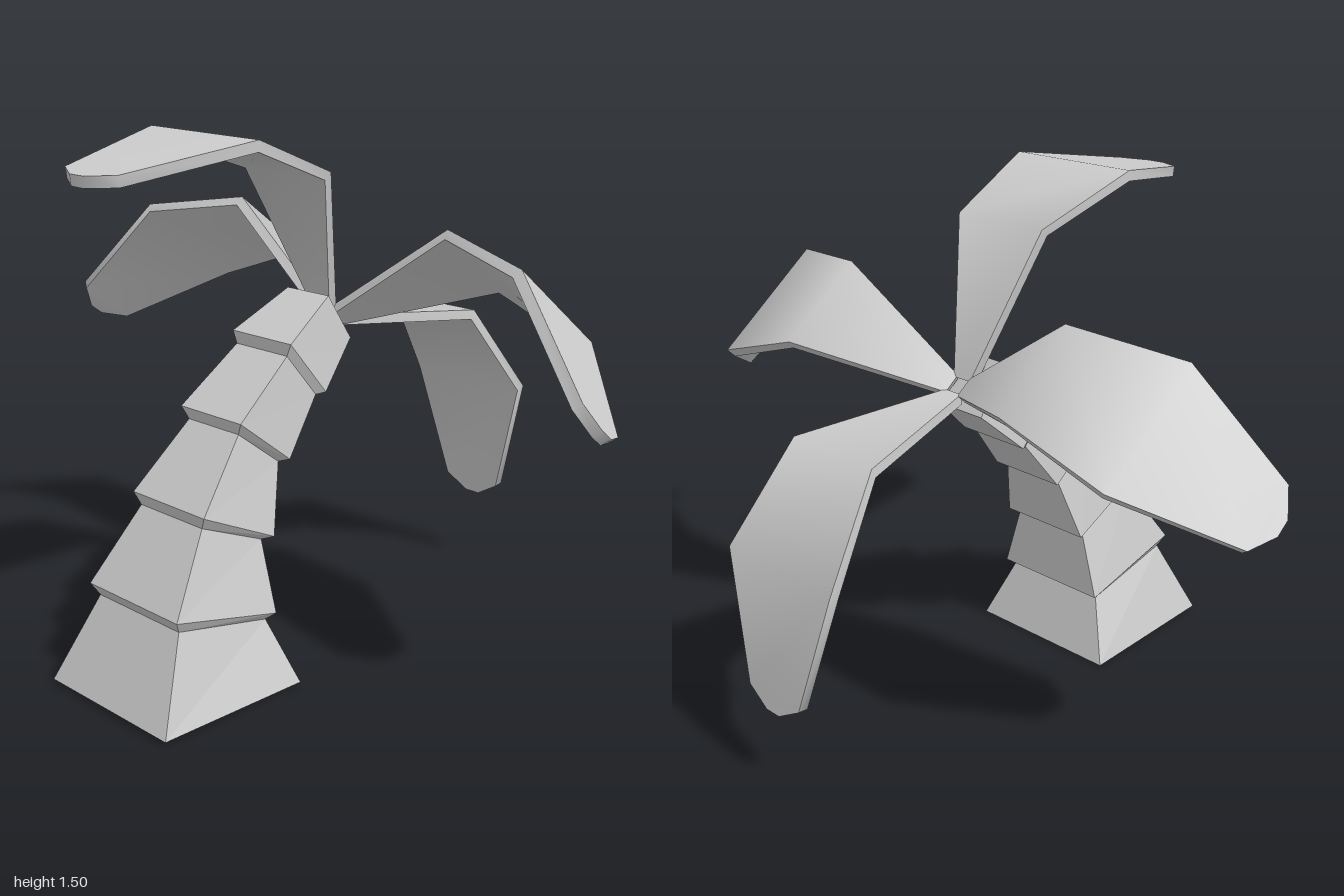
import * as THREE from 'three';
import { toCreasedNormals } from 'three/addons/utils/BufferGeometryUtils.js';

const grey = new THREE.MeshStandardMaterial({ color: 0xcccccc });

// Skins a list of four-cornered rings into a closed solid
function loft(rings, crease) {
  const pos = [];
  const quad = (a, b, c, d) => pos.push(...a, ...b, ...c, ...a, ...c, ...d);
  for (let i = 0; i < rings.length - 1; i++) {
    const p = rings[i], q = rings[i + 1];
    for (let j = 0; j < 4; j++) {
      const k = (j + 1) % 4;
      quad(p[j], p[k], q[k], q[j]);
    }
  }
  const first = rings[0], last = rings[rings.length - 1];
  quad(first[3], first[2], first[1], first[0]);
  quad(...last);
  const geo = new THREE.BufferGeometry();
  geo.setAttribute('position', new THREE.Float32BufferAttribute(pos, 3));
  return toCreasedNormals(geo, crease);
}

// Leaning trunk: each ring is [left x, left y, right x, right y, half depth]
function makeTrunk() {
  const profile = [
    [-0.75, 0.01, -0.27, 0.0, 0.24],
    [-0.635, 0.25, -0.33, 0.185, 0.165],
    [-0.655, 0.285, -0.305, 0.2, 0.182],
    [-0.515, 0.49, -0.305, 0.4, 0.125],
    [-0.525, 0.525, -0.275, 0.405, 0.145],
    [-0.36, 0.705, -0.215, 0.595, 0.1],
    [-0.37, 0.74, -0.19, 0.6, 0.12],
    [-0.18, 0.885, -0.07, 0.755, 0.1],
    [-0.18, 0.92, -0.045, 0.76, 0.115],
    [0.0, 1.02, 0.09, 0.885, 0.08],
  ];
  const cz = -0.01;
  const rings = profile.map(([lx, ly, rx, ry, d]) => [
    [lx, ly, cz + d], [rx, ry, cz + d], [rx, ry, cz - d], [lx, ly, cz - d],
  ]);
  const mesh = new THREE.Mesh(loft(rings, 0.05), grey);
  mesh.name = 'trunk';
  return mesh;
}

// Arched leaf along +x: each station is [reach, height, half width]
function leafGeometry() {
  const stations = [
    [0.03, 0.019, 0.03],
    [0.4, 0.25, 0.15],
    [0.705, 0.156, 0.2],
    [0.95, -0.105, 0.1],
    [0.982, -0.136, 0.025],
  ];
  const half = 0.015;
  const rings = stations.map(([r, h, w], i) => {
    const a = stations[Math.max(i - 1, 0)];
    const b = stations[Math.min(i + 1, stations.length - 1)];
    const len = Math.hypot(b[0] - a[0], b[1] - a[1]);
    const nx = -(b[1] - a[1]) / len * half, ny = (b[0] - a[0]) / len * half;
    return [
      [r - nx, h - ny, w], [r - nx, h - ny, -w],
      [r + nx, h + ny, -w], [r + nx, h + ny, w],
    ];
  });
  return loft(rings, 1.0);
}

export function createModel() {
  const model = new THREE.Group();
  model.name = 'palmTree';
  model.add(makeTrunk());

  // Crown of four leaves, tilted with the trunk
  const crown = new THREE.Group();
  crown.name = 'crown';
  crown.position.set(0.07, 0.93, 0);
  crown.rotation.z = THREE.MathUtils.degToRad(-37);
  const geo = leafGeometry();
  const turns = { leftLeaf: 0, backLeaf: Math.PI / 2, rightLeaf: Math.PI + 0.025, frontLeaf: -Math.PI / 2 };
  for (const [name, turn] of Object.entries(turns)) {
    const leaf = new THREE.Mesh(geo, grey);
    leaf.name = name;
    leaf.rotation.y = turn;
    crown.add(leaf);
  }
  model.add(crown);
  return model;
}
